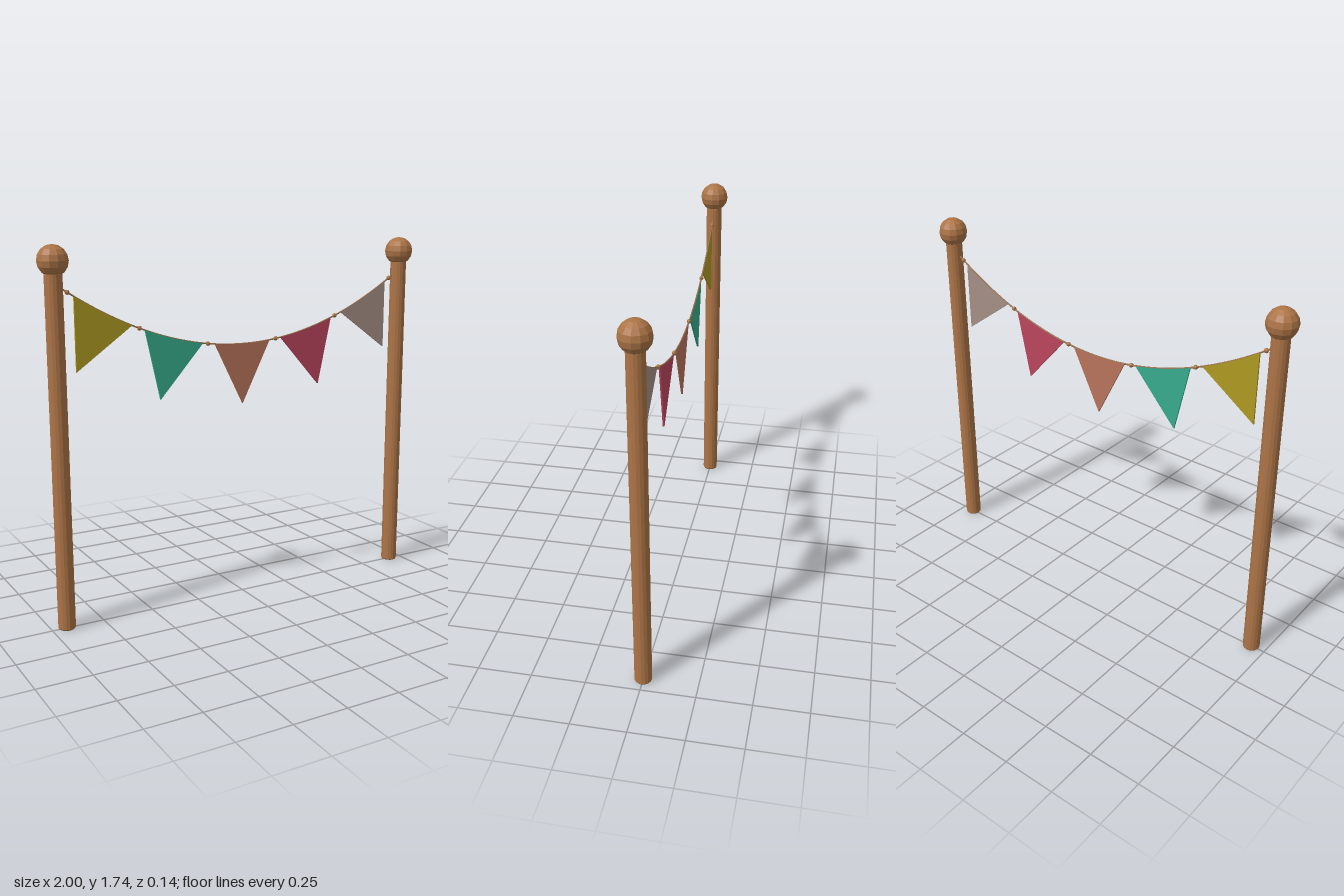
import * as THREE from 'three';

const mat = (name, color, extra = {}) => {
  const m = new THREE.MeshStandardMaterial({ color, ...extra });
  m.name = name;
  return m;
};

// Height of the sagging rope at x
const ropeY = (x) => 1.252 + 0.372 * x * x;

export function createModel() {
  const group = new THREE.Group();
  group.name = 'buntingBetweenPoles';

  const wood = mat('wood', 0xac7446, { flatShading: true });
  const cord = mat('cord', 0x9a7350);
  const flagMats = [
    mat('olive', 0xaf9922),
    mat('teal', 0x37ab8c),
    mat('terracotta', 0xb8735b),
    mat('crimson', 0xbb455d),
    mat('taupe', 0xa58f85),
  ];

  const add = (name, geometry, material, x = 0, y = 0) => {
    const mesh = new THREE.Mesh(geometry, material);
    mesh.name = name;
    mesh.position.set(x, y, 0);
    group.add(mesh);
    return mesh;
  };

  // Poles with slightly chamfered ends and ball finials
  const poleProfile = [[0, 0], [0.036, 0], [0.04, 0.006], [0.04, 1.614], [0.036, 1.62], [0, 1.62]]
    .map(([r, y]) => new THREE.Vector2(r, y));
  const poleGeo = new THREE.LatheGeometry(poleProfile, 16);
  const ballGeo = new THREE.SphereGeometry(0.07, 12, 8);
  for (const [side, s] of [['left', 1], ['right', -1]]) {
    add(side + 'Pole', poleGeo, wood, s * 0.93, 0);
    add(side + 'Finial', ballGeo, wood, s * 0.93, 1.67);
  }

  // Rope hanging in a parabola
  const ropePoints = [];
  for (let i = 0; i <= 24; i++) {
    const x = -0.9 + (1.8 * i) / 24;
    ropePoints.push(new THREE.Vector3(x, ropeY(x), 0));
  }
  add('rope', new THREE.TubeGeometry(new THREE.CatmullRomCurve3(ropePoints), 64, 0.004, 6), cord);

  // Knots between the flags
  const knotGeo = new THREE.SphereGeometry(0.011, 8, 6);
  for (const x of [-0.87, -0.535, -0.187, 0.187, 0.535, 0.87]) add('knot', knotGeo, wood, x, ropeY(x));

  // Pennants: top edge follows the rope, tip hangs square to it
  const spans = [[-0.842, -0.571], [-0.509, -0.214], [-0.15, 0.15], [0.214, 0.509], [0.571, 0.842]];
  spans.forEach(([x0, x1], i) => {
    const shape = new THREE.Shape();
    shape.moveTo(x0, ropeY(x0));
    const mid = (x0 + x1) / 2;
    const dir = new THREE.Vector2(2 * 0.372 * mid, -1).normalize().multiplyScalar(0.29);
    shape.lineTo(mid + dir.x, ropeY(mid) + dir.y);
    for (let k = 0; k <= 8; k++) {
      const x = x1 + ((x0 - x1) * k) / 8;
      if (k < 8) shape.lineTo(x, ropeY(x));
    }
    const geo = new THREE.ExtrudeGeometry(shape, { depth: 0.008, bevelEnabled: false });
    geo.translate(0, 0, -0.004);
    add('flag' + (i + 1), geo, flagMats[i]);
  });

  return group;
}
